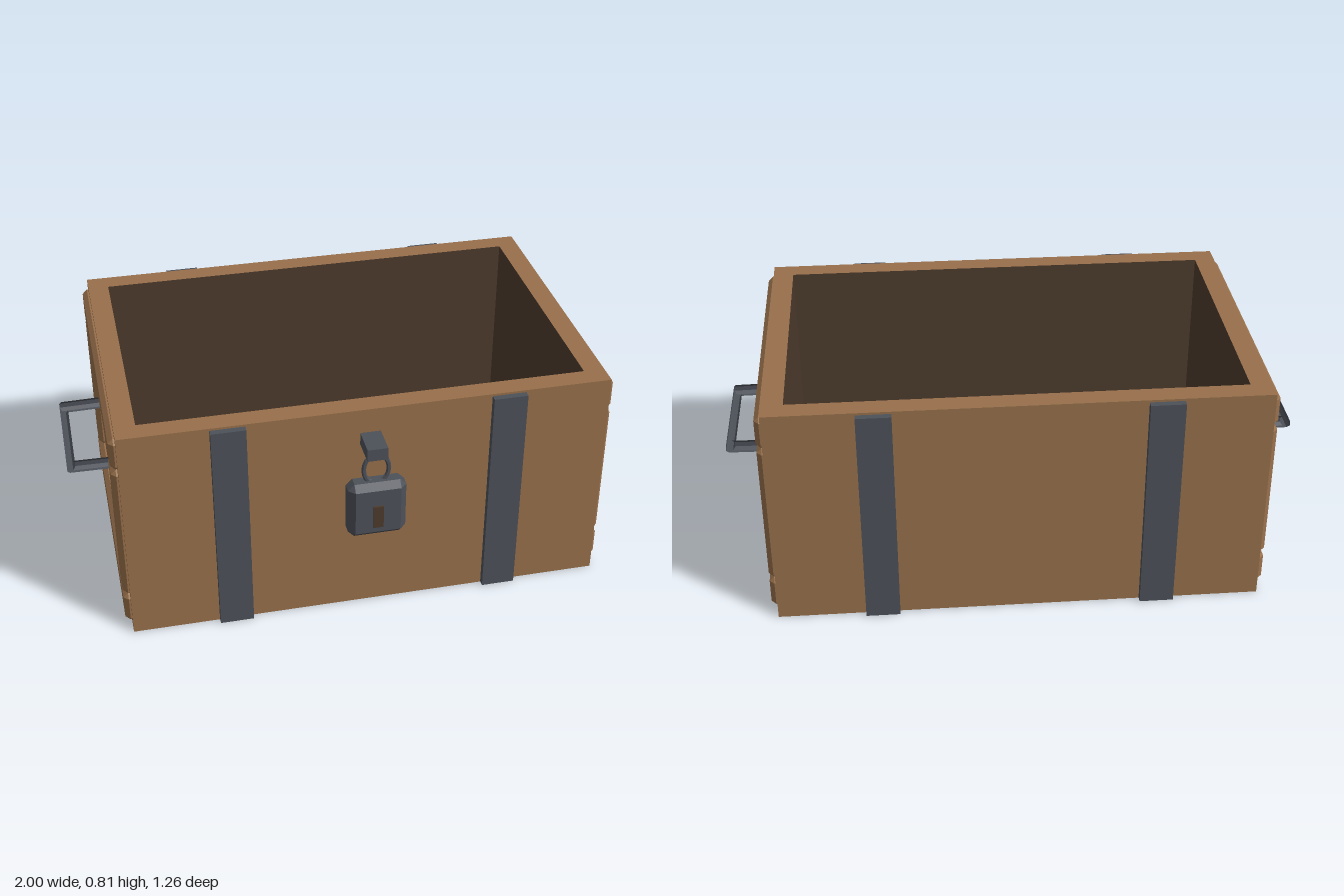
import * as THREE from 'three';
import { ConvexGeometry } from 'three/addons/geometries/ConvexGeometry.js';

const mat = (name, color) => {
  const m = new THREE.MeshStandardMaterial({ color, flatShading: true });
  m.name = name;
  return m;
};

// Box with all edges chamfered by b
function chamferBox(w, h, d, b) {
  const pts = [];
  for (const x of [-w / 2, w / 2])
    for (const y of [-h / 2, h / 2])
      for (const z of [-d / 2, d / 2]) {
        const sx = Math.sign(x) * b, sy = Math.sign(y) * b, sz = Math.sign(z) * b;
        pts.push(new THREE.Vector3(x, y - sy, z - sz),
          new THREE.Vector3(x - sx, y, z - sz),
          new THREE.Vector3(x - sx, y - sy, z));
      }
  return new ConvexGeometry(pts);
}

// Bar swept along a flat [x, z] path with mitred corners
function mitredBar(path, halfWidth, halfHeight, sides) {
  const pos = [], index = [];
  const pts = path.map(p => new THREE.Vector2(...p));
  const normal = (a, b) => {
    const d = b.clone().sub(a).normalize();
    return new THREE.Vector2(-d.y, d.x);
  };
  pts.forEach((p, i) => {
    const n0 = normal(pts[Math.max(i - 1, 0)], pts[Math.max(i, 1)]);
    const last = pts.length - 1;
    const n1 = normal(pts[Math.min(i, last - 1)], pts[Math.min(i + 1, last)]);
    const m = n0.clone().add(n1);
    m.multiplyScalar(1 / (1 + n0.dot(n1)));
    for (let j = 0; j < sides; j++) {
      const a = (j + 0.5) / sides * Math.PI * 2;
      const u = Math.cos(a) * halfWidth, v = Math.sin(a) * halfHeight;
      pos.push(p.x + m.x * u, v, p.y + m.y * u);
      if (i === last) continue;
      const k = (j + 1) % sides;
      const A = i * sides + j, B = i * sides + k, C = A + sides, D = B + sides;
      index.push(A, B, C, B, D, C);
    }
  });
  const g = new THREE.BufferGeometry();
  g.setAttribute('position', new THREE.Float32BufferAttribute(pos, 3));
  g.setIndex(index);
  const flat = g.toNonIndexed();
  flat.computeVertexNormals();
  return flat;
}

export function createModel() {
  const wood = mat('wood', 0x98704b);
  const inside = mat('darkInterior', 0x4d3b2c);
  const metal = mat('darkMetal', 0x4c5058);
  const root = new THREE.Group();
  root.name = 'openChest';

  const add = (parent, name, geometry, material, x, y, z) => {
    const mesh = new THREE.Mesh(geometry, material);
    mesh.name = name;
    mesh.position.set(x, y, z);
    parent.add(mesh);
    return mesh;
  };
  const box = (w, h, d) => new THREE.BoxGeometry(w, h, d);

  // Everything but the lock is symmetric about the chest centre
  const chest = new THREE.Group();
  chest.name = 'chest';
  chest.position.z = -0.055;
  root.add(chest);

  const W = 0.84, D = 0.55, H = 0.81, T = 0.073;
  // Wooden walls whose inner face (one of the six box sides) is dark
  const faces = dark => Array.from({ length: 6 }, (_, i) => (i === dark ? inside : wood));
  add(chest, 'frontWall', box(W * 2, H, T), faces(5), 0, H / 2, D - T / 2);
  add(chest, 'backWall', box(W * 2, H, T), faces(4), 0, H / 2, -D + T / 2);
  add(chest, 'leftWall', box(T, H, (D - T) * 2), faces(1), W - T / 2, H / 2, 0);
  add(chest, 'rightWall', box(T, H, (D - T) * 2), faces(0), -W + T / 2, H / 2, 0);
  add(chest, 'floor', box((W - T) * 2, T, (D - T) * 2), faces(2), 0, T / 2, 0);

  // Metal straps on the front and back
  for (const sx of [-1, 1])
    for (const sz of [-1, 1])
      add(chest, sz > 0 ? 'frontStrap' : 'backStrap', box(0.118, 0.8, 0.024), metal,
        sx * 0.478, 0.402, sz * (D + 0.011));

  // Framed ends with handles
  for (const side of ['left', 'right']) {
    const end = new THREE.Group();
    end.name = side + 'End';
    end.rotation.y = side === 'left' ? 0 : Math.PI;
    chest.add(end);
    for (const y of [0.085, 0.73])
      add(end, 'endRail', chamferBox(0.06, 0.12, 1.055, 0.017), wood, W - 0.007, y, 0);
    for (const s of [-1, 1])
      add(end, 'endStile', chamferBox(0.06, 0.523, 0.12, 0.017), wood, W - 0.007, 0.4075, s * 0.468);
    const path = [[0.82, -0.198], [0.985, -0.194], [0.985, 0.194], [0.82, 0.198]];
    add(end, 'handle', mitredBar(path, 0.016, 0.022, 8), metal, 0, 0.481, 0);
  }

  // Hasp and padlock
  const lock = new THREE.Group();
  lock.name = 'padlock';
  root.add(lock);
  add(lock, 'hasp', box(0.07, 0.045, 0.11), metal, 0, 0.6975, 0.545);
  add(lock, 'lockBody', chamferBox(0.2, 0.213, 0.08, 0.022), metal, 0, 0.481, 0.581);
  const shackle = add(lock, 'shackle', new THREE.TorusGeometry(0.043, 0.008, 6, 20), metal, 0, 0.63, 0.581);
  shackle.scale.y = 1.35;
  add(lock, 'keyhole', box(0.034, 0.085, 0.009), inside, 0, 0.462, 0.6235);

  return root;
}
